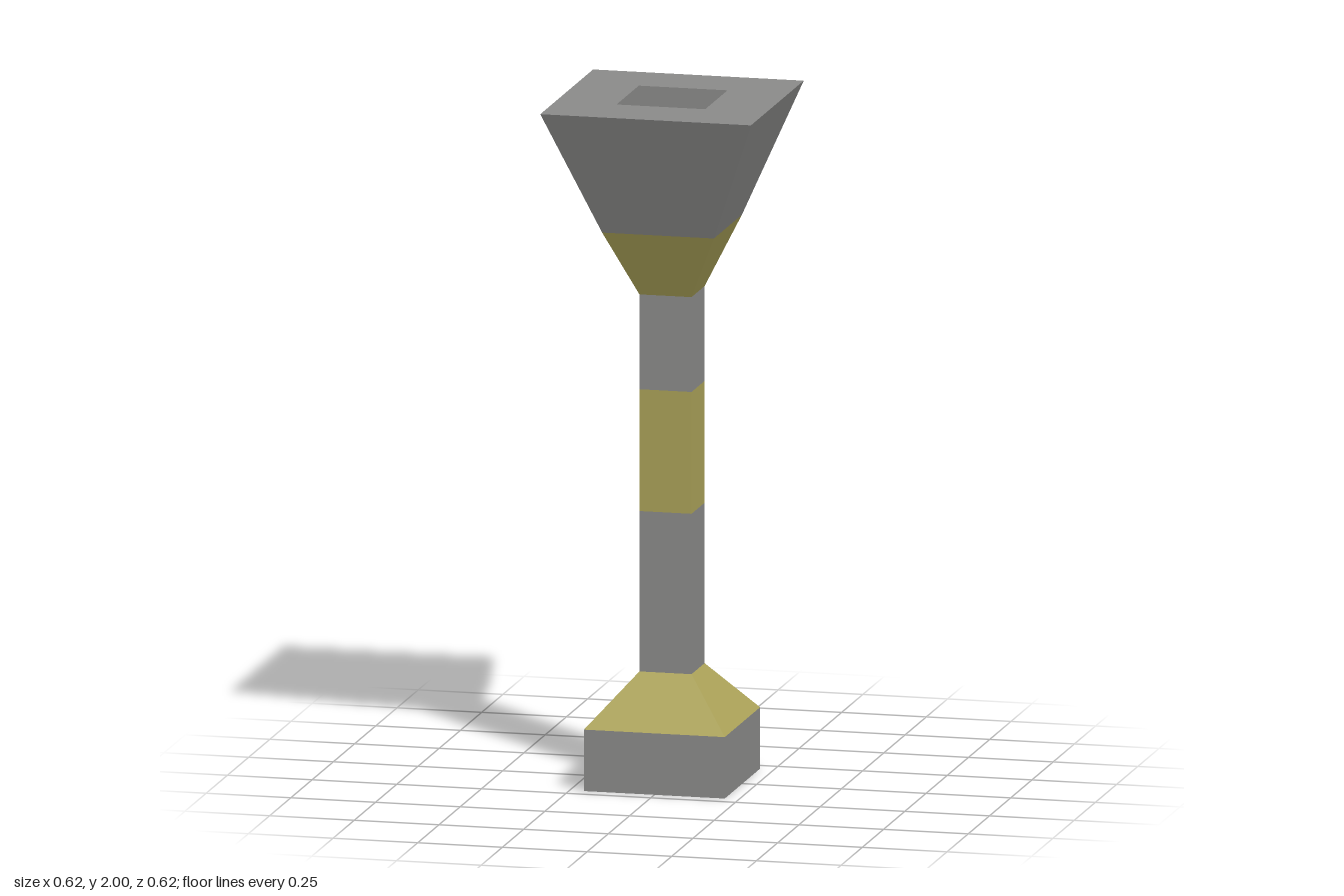
import * as THREE from 'three';

const grey = new THREE.MeshStandardMaterial({ color: 0x8b8b8a });
grey.name = 'stone grey';
const yellow = new THREE.MeshStandardMaterial({ color: 0xaca359 });
yellow.name = 'dull yellow';

// Square tube wall between two heights, with half-widths at bottom and top
function squareWall(y0, half0, y1, half1, inward = false) {
  const g = new THREE.CylinderGeometry(half1 * Math.SQRT2, half0 * Math.SQRT2, y1 - y0, 4, 1, true, Math.PI / 4);
  if (inward) g.index.array.reverse();
  const flat = g.toNonIndexed();
  flat.computeVertexNormals();
  return flat.translate(0, (y0 + y1) / 2, 0);
}

function square(shape, h) {
  return shape.moveTo(-h, -h).lineTo(h, -h).lineTo(h, h).lineTo(-h, h).closePath();
}

export function createModel() {
  const model = new THREE.Group();
  model.name = 'squarePedestal';
  const add = (name, geometry, material) => {
    const mesh = new THREE.Mesh(geometry, material);
    mesh.name = name;
    model.add(mesh);
  };

  // Stacked sections: name, bottom y, half-width, top y, half-width, colour
  const sections = [
    ['base', 0, 0.208, 0.18, 0.208, grey],
    ['baseSlope', 0.18, 0.208, 0.33, 0.077, yellow],
    ['lowerShaft', 0.33, 0.077, 0.8, 0.077, grey],
    ['shaftBand', 0.8, 0.077, 1.157, 0.077, yellow],
    ['upperShaft', 1.157, 0.077, 1.435, 0.077, grey],
    ['bowlCollar', 1.435, 0.077, 1.63, 0.165, yellow],
    ['bowl', 1.63, 0.165, 2, 0.311, grey],
  ];
  for (const [name, y0, h0, y1, h1, material] of sections) {
    add(name, squareWall(y0, h0, y1, h1), material);
  }

  // Underside of the base
  add('baseUnderside', new THREE.PlaneGeometry(0.416, 0.416).rotateX(Math.PI / 2), grey);

  // Flat rim around a square well
  const well = 0.131, floorY = 1.63;
  const rim = square(new THREE.Shape(), 0.311);
  rim.holes.push(square(new THREE.Path(), well));
  add('rim', new THREE.ShapeGeometry(rim).rotateX(-Math.PI / 2).translate(0, 2, 0), grey);
  add('wellWalls', squareWall(floorY, well, 2, well, true), grey);
  add('wellFloor', new THREE.PlaneGeometry(well * 2, well * 2).rotateX(-Math.PI / 2).translate(0, floorY, 0), grey);

  return model;
}
